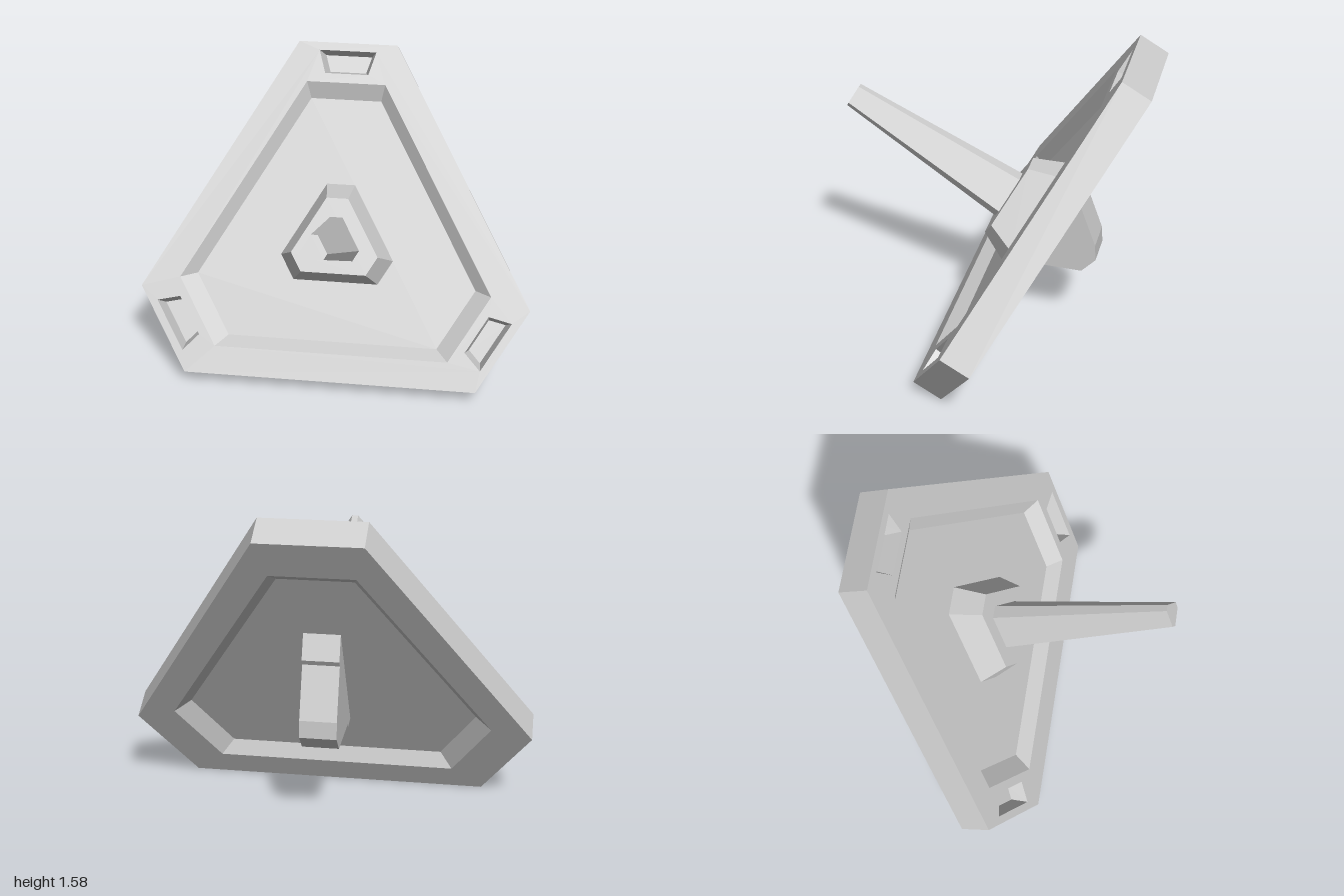
import * as THREE from 'three';

const grey = () => new THREE.MeshStandardMaterial({ color: 0xcccccc, flatShading: true });

// Triangle with cut corners, counter-clockwise, centred on the origin
const OUTLINE = [[0.75, -0.722], [1, -0.289], [0.25, 1.01], [-0.25, 1.01], [-1, -0.289], [-0.75, -0.722]];
const outline = (s) => OUTLINE.map(([x, y]) => [x * s, y * s]);
const at = (points, z) => points.map(([x, y]) => [x, y, z]);
const hex = (s, z) => at(outline(s), z);

// Skin through rings of equal point count, optionally closed at either end
function loft(rings, { start = false, end = false } = {}) {
  const pos = [];
  const tri = (a, b, c) => pos.push(...a, ...b, ...c);
  for (let r = 0; r + 1 < rings.length; r++) {
    const a = rings[r], b = rings[r + 1], n = a.length;
    for (let i = 0; i < n; i++) {
      const j = (i + 1) % n;
      tri(a[i], a[j], b[j]);
      tri(a[i], b[j], b[i]);
    }
  }
  const first = rings[0], last = rings[rings.length - 1];
  for (let i = 1; i + 1 < first.length; i++) {
    if (start) tri(first[0], first[i + 1], first[i]);
    if (end) tri(last[0], last[i], last[i + 1]);
  }
  const g = new THREE.BufferGeometry();
  g.setAttribute('position', new THREE.Float32BufferAttribute(pos, 3));
  g.computeVertexNormals();
  return g;
}

export function createModel() {
  const model = new THREE.Group();
  const tilted = new THREE.Group();
  tilted.name = 'tiltedPlate';
  tilted.position.set(0, 0.705, -0.121);
  tilted.rotation.x = -Math.PI / 6;
  model.add(tilted);

  const add = (name, geometry) => {
    const mesh = new THREE.Mesh(geometry, grey());
    mesh.name = name;
    tilted.add(mesh);
    return mesh;
  };

  // Plate: rim with recessed back, and recessed front panel
  add('plateRimAndBack', loft([hex(0.72, -0.1), hex(0.8, -0.16), hex(1, -0.16), hex(1, 0)], { start: true }));
  add('frontPanel', loft([hex(0.8, 0), hex(0.72, -0.06)], { end: true }));

  // Tapered pits in the three corners
  const pitMouth = [[0.11, 0.854], [0.145, 0.97], [-0.145, 0.97], [-0.11, 0.854]];
  const pitFloor = [[0.092, 0.868], [0.118, 0.952], [-0.118, 0.952], [-0.092, 0.868]];
  const toV2 = (points) => points.map(([x, y]) => new THREE.Vector2(x, y));
  const face = new THREE.Shape(toV2(OUTLINE));
  face.holes.push(new THREE.Path(toV2(outline(0.8))));
  for (let k = 0; k < 3; k++) {
    const angle = (k * 2 * Math.PI) / 3;
    const mouth = toV2(pitMouth).map((p) => p.rotateAround(new THREE.Vector2(), angle));
    face.holes.push(new THREE.Path(mouth));
    add('cornerPit', loft([at(pitMouth, 0), at(pitFloor, -0.08)], { end: true })).rotation.z = angle;
  }
  add('frontFace', new THREE.ShapeGeometry(face));

  // Hub and long tapered peg on the front
  add('hub', loft([hex(0.29, -0.06), hex(0.22, 0.088)], { end: true }));
  add('peg', loft([hex(0.125, 0.088), hex(0.0625, 1)], { end: true }));

  // Fin on the back: side profile as [distance behind the front face, height]
  const profile = [
    [0.09, -0.285], [0.17, -0.259], [0.17, -0.237], [0.428, -0.094], [0.451, 0.007],
    [0.404, 0.078], [0.2, 0.249], [0.2, 0.278], [0.09, 0.368],
  ];
  const fin = new THREE.ExtrudeGeometry(new THREE.Shape(toV2(profile)), { depth: 0.18, bevelEnabled: false });
  fin.translate(0, 0, -0.09).rotateY(Math.PI / 2);
  add('backFin', fin);

  return model;
}
